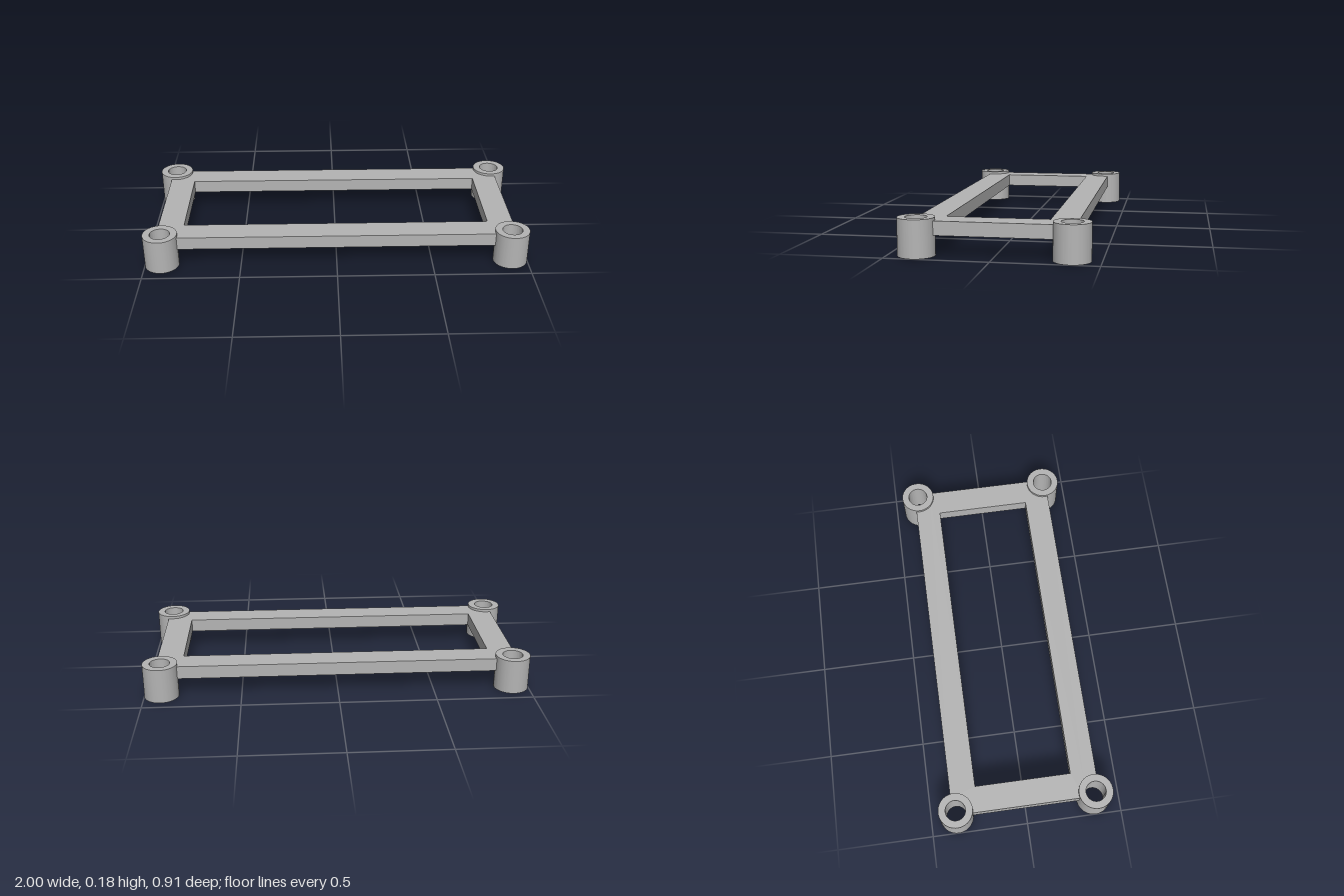
import * as THREE from 'three';
import { toCreasedNormals } from 'three/addons/utils/BufferGeometryUtils.js';

const POST_X = 0.911, POST_Z = 0.364, POST_R = 0.089, HOLE_R = 0.052, POST_H = 0.182;
const OUT_X = 0.933, OUT_Z = 0.382, IN_X = 0.799, IN_Z = 0.249;
const FRAME_Y = 0.1, FRAME_H = 0.068;

// Extrude a plan outline upward, smooth on curves and sharp on edges
function extrudeUp(shape, height, curveSegments) {
  const geo = new THREE.ExtrudeGeometry(shape, { depth: height, bevelEnabled: false, curveSegments });
  geo.rotateX(-Math.PI / 2);
  return toCreasedNormals(geo, 0.5);
}

export function createModel() {
  const model = new THREE.Group();
  model.name = 'mountingFrame';
  const grey = new THREE.MeshStandardMaterial({ color: 0xb4b4b4 });
  grey.name = 'grey';

  // Rectangular frame whose corners are cut back inside the post walls
  const cut = (POST_R + HOLE_R) / 2;
  const ax = Math.asin((OUT_X - POST_X) / cut), az = Math.asin((OUT_Z - POST_Z) / cut);
  const PI = Math.PI;
  const outline = new THREE.Shape();
  const corners = [
    [1, 1, -PI / 2 + ax, -PI - az],
    [-1, 1, az, -PI / 2 - ax],
    [-1, -1, PI / 2 + ax, -az],
    [1, -1, PI + az, PI / 2 - ax],
  ];
  for (const [sx, sz, start, end] of corners) {
    outline.absarc(sx * POST_X, sz * POST_Z, cut, start, end, true);
  }
  outline.closePath();
  outline.holes.push(new THREE.Path([
    new THREE.Vector2(-IN_X, -IN_Z), new THREE.Vector2(-IN_X, IN_Z),
    new THREE.Vector2(IN_X, IN_Z), new THREE.Vector2(IN_X, -IN_Z),
  ]));
  const frame = new THREE.Mesh(extrudeUp(outline, FRAME_H, 16), grey);
  frame.name = 'frame';
  frame.position.y = FRAME_Y;
  model.add(frame);

  // Hollow corner posts
  const ring = new THREE.Shape().absarc(0, 0, POST_R, 0, PI * 2, false);
  ring.holes.push(new THREE.Path().absarc(0, 0, HOLE_R, 0, PI * 2, true));
  const postGeo = extrudeUp(ring, POST_H, 48);
  for (const [sx, sz] of corners) {
    const post = new THREE.Mesh(postGeo, grey);
    post.name = (sz > 0 ? 'front' : 'back') + (sx > 0 ? 'Left' : 'Right') + 'Post';
    post.position.set(sx * POST_X, 0, sz * POST_Z);
    model.add(post);
  }
  return model;
}
